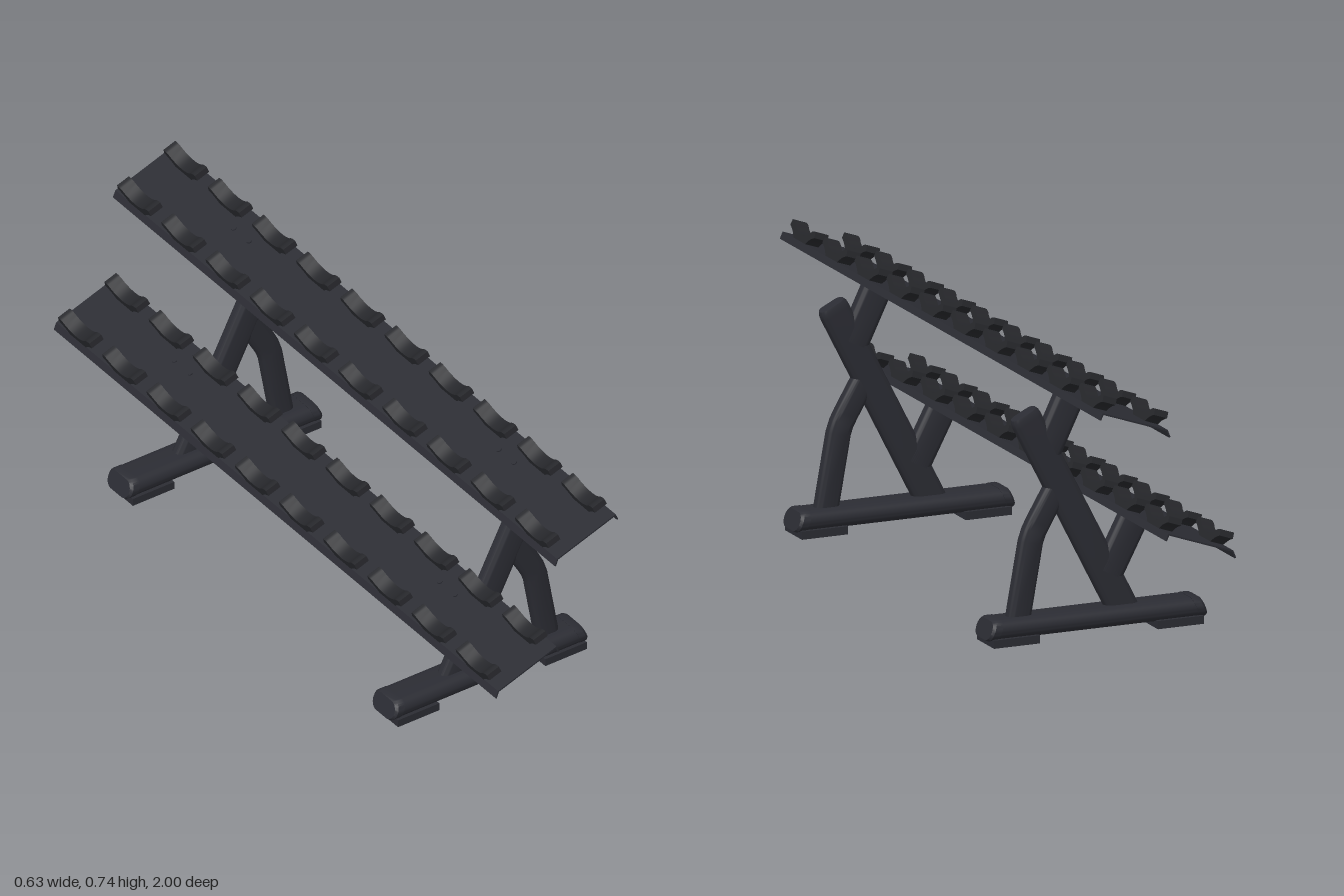
import * as THREE from 'three';
import { toCreasedNormals } from 'three/addons/utils/BufferGeometryUtils.js';

const frameMat = new THREE.MeshStandardMaterial({ color: 0x2b2c33 });
frameMat.name = 'charcoal frame';
const saddleMat = new THREE.MeshStandardMaterial({ color: 0x26272b });
saddleMat.name = 'dark rubber';

const TILT = 0.34;

function add(parent, name, geometry, material) {
  const mesh = new THREE.Mesh(geometry, material);
  mesh.name = name;
  parent.add(mesh);
  return mesh;
}

// Flat-oval outline: straight sides with round ends, w by t
function ovalRing(w, t) {
  const r = Math.min(w, t) / 2, ring = [];
  for (let i = 0; i < 32; i++) {
    const a = ((i + 0.5) / 32) * Math.PI * 2, c = Math.cos(a), s = Math.sin(a);
    ring.push([c * r + Math.sign(c) * (w / 2 - r), s * r + Math.sign(s) * (t / 2 - r)]);
  }
  return ring;
}

// Sweeps the flat oval through points [x, y, scale] lying in the xy plane
function ovalTube(points, w, t) {
  const pos = [], index = [], n = 32, last = points.length - 1;
  points.forEach(([x, y, scale = 1], i) => {
    const a = points[Math.max(i - 1, 0)], b = points[Math.min(i + 1, last)];
    const len = Math.hypot(b[0] - a[0], b[1] - a[1]);
    const dx = (b[0] - a[0]) / len, dy = (b[1] - a[1]) / len;
    for (const [u, v] of ovalRing(w * scale, t * scale)) pos.push(x - dy * u, y + dx * u, v);
  });
  const start = pos.length / 3;
  pos.push(points[0][0], points[0][1], 0, points[last][0], points[last][1], 0);
  for (let j = 0; j < n; j++) {
    const k = (j + 1) % n;
    for (let i = 0; i < last; i++) {
      const p = i * n, q = p + n;
      index.push(p + j, p + k, q + k, p + j, q + k, q + j);
    }
    index.push(start, k, j, start + 1, last * n + j, last * n + k);
  }
  const geo = new THREE.BufferGeometry();
  geo.setAttribute('position', new THREE.Float32BufferAttribute(pos, 3));
  geo.setIndex(index);
  return geo;
}

const smooth = (geo) => toCreasedNormals(geo, 0.6);

// Slants the ends of the floor beam so they lean outwards at the bottom
function slantEnds(geo) {
  const p = geo.attributes.position;
  for (let i = 0; i < p.count; i++) {
    const x = p.getX(i);
    if (Math.abs(x) > 0.2) p.setX(i, x - Math.sign(x) * 0.37 * (p.getY(i) - 0.0425));
  }
  return geo;
}

// Hollow rubber foot
function footGeometry() {
  const rect = (C, w, d) => new C([[-w, -d], [w, -d], [w, d], [-w, d]].map(([x, y]) => new THREE.Vector2(x, y)));
  const shape = rect(THREE.Shape, 0.066, 0.053);
  shape.holes.push(rect(THREE.Path, 0.054, 0.041));
  return new THREE.ExtrudeGeometry(shape, { depth: 0.022, bevelEnabled: false }).rotateX(-Math.PI / 2);
}

// Cradle with a concave top, its outline running along z
function saddleGeometry() {
  const s = new THREE.Shape();
  s.moveTo(-0.036, 0);
  s.lineTo(0.036, 0);
  s.quadraticCurveTo(0.052, 0.018, 0.075, 0.026);
  s.lineTo(0.071, 0.042);
  s.quadraticCurveTo(0.055, 0.043, 0.042, 0.03);
  s.quadraticCurveTo(0, 0.004, -0.042, 0.03);
  s.quadraticCurveTo(-0.055, 0.043, -0.071, 0.042);
  s.lineTo(-0.075, 0.026);
  s.quadraticCurveTo(-0.052, 0.018, -0.036, 0);
  const geo = new THREE.ExtrudeGeometry(s, { depth: 0.04, bevelEnabled: false, curveSegments: 8 });
  return smooth(geo.translate(0, 0, -0.02).rotateY(Math.PI / 2));
}

// Folded sheet tray with a splayed front lip and a straight rear lip
function trayGeometry() {
  const profile = [[-0.112, -0.016], [-0.098, 0], [0.1, 0], [0.1015, -0.02],
    [0.0975, -0.02], [0.096, -0.004], [-0.096, -0.004], [-0.109, -0.019]];
  const shape = new THREE.Shape(profile.map(([x, y]) => new THREE.Vector2(x, y)));
  return new THREE.ExtrudeGeometry(shape, { depth: 2, bevelEnabled: false }).translate(0, 0, -1);
}

function makeFrame() {
  const frame = new THREE.Group();
  // Floor beam, end caps and feet
  add(frame, 'floorBeam', smooth(slantEnds(ovalTube([[-0.285, 0.0425], [0.285, 0.0425]], 0.053, 0.104))), frameMat);
  for (const s of [-1, 1]) {
    const rings = [[0.28, 0.0425], [0.3, 0.0425], [0.307, 0.0425, 0.88]].map(([x, y, k]) => [s * x, y, k]);
    if (s < 0) rings.reverse();
    add(frame, 'beamEndCap', smooth(slantEnds(ovalTube(rings, 0.055, 0.107))), frameMat);
    add(frame, 'foot', footGeometry(), frameMat).position.x = s * 0.235 + 0.002;
  }
  // Leaning main post with a rounded plug on top
  add(frame, 'mainPost', smooth(ovalTube(
    [[-0.092, 0.05], [0.185, 0.59], [0.191, 0.602, 0.97], [0.195, 0.61, 0.86]], 0.086, 0.042)), frameMat);
  // Bent rear leg
  add(frame, 'rearLeg', smooth(ovalTube(
    [[0.09, 0.42], [0.154, 0.311], [0.166, 0.288], [0.175, 0.262], [0.211, 0.06]], 0.07, 0.04)), frameMat);
  // Arms that carry the trays
  add(frame, 'upperArm', smooth(ovalTube([[0.055, 0.662], [0.133, 0.5]], 0.088, 0.042)), frameMat);
  add(frame, 'lowerArm', smooth(ovalTube([[-0.13, 0.315], [-0.046, 0.155]], 0.088, 0.042)), frameMat);
  return frame;
}

function makeShelf() {
  const shelf = new THREE.Group();
  add(shelf, 'tray', trayGeometry(), frameMat);
  const saddle = saddleGeometry();
  const bolt = new THREE.CylinderGeometry(0.007, 0.007, 0.004, 12);
  for (const z of [-0.6, 0.6]) {
    add(shelf, 'mountPlate', new THREE.BoxGeometry(0.12, 0.01, 0.1), frameMat).position.set(0, -0.009, z);
    for (const dz of [-0.035, 0.035])
      add(shelf, 'bolt', bolt, frameMat).position.set(0.03, 0.001, z + dz);
  }
  // Two rows of ten saddles
  for (const x of [-0.079, 0.078])
    for (let i = 0; i < 10; i++)
      add(shelf, 'saddle', saddle, saddleMat).position.set(x, 0, -0.9 + i * 0.2);
  shelf.rotation.z = TILT;
  return shelf;
}

export function createModel() {
  const model = new THREE.Group();
  model.name = 'dumbbellRack';
  for (const [name, z] of [['frontFrame', 0.6], ['backFrame', -0.6]]) {
    const frame = makeFrame();
    frame.name = name;
    frame.position.z = z;
    model.add(frame);
  }
  for (const [name, x, y] of [['lowerShelf', -0.132, 0.324], ['upperShelf', 0.0565, 0.671]]) {
    const shelf = makeShelf();
    shelf.name = name;
    shelf.position.set(x, y, 0);
    model.add(shelf);
  }
  return model;
}
